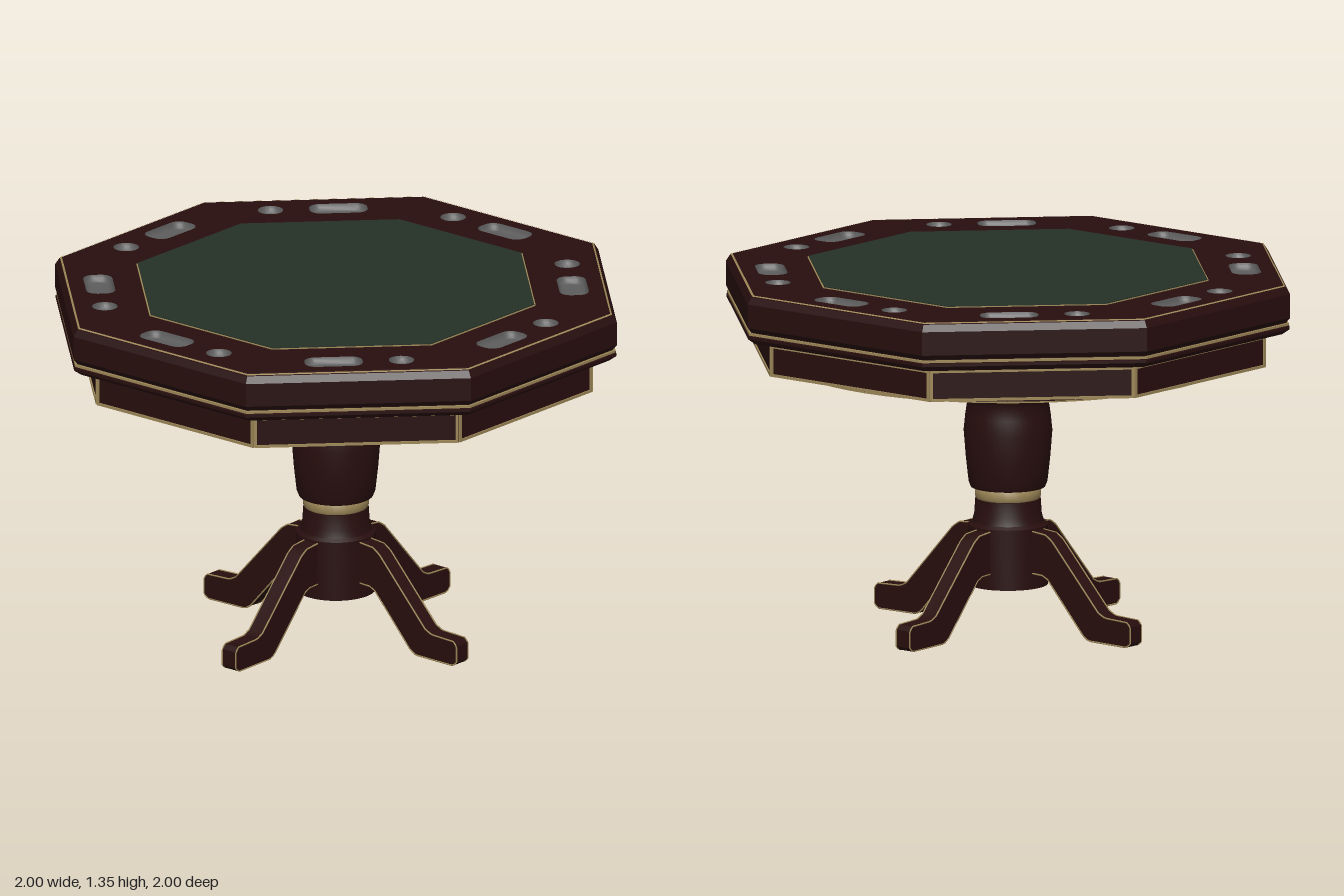
import * as THREE from 'three';
import { toCreasedNormals, mergeGeometries } from 'three/addons/utils/BufferGeometryUtils.js';

const material = (name, color) => {
  const m = new THREE.MeshStandardMaterial({ color });
  m.name = name;
  return m;
};
const C8 = Math.cos(Math.PI / 8);
const vec2 = (list) => list.map(([x, y]) => new THREE.Vector2(x, y));

export function createModel() {
  const wood = material('dark wood', 0x280e0e);
  const felt = material('green felt', 0x243025);
  const gold = material('gold trim', 0x9c8757);
  const metal = material('cup metal', 0x5c5c5c);

  const model = new THREE.Group();
  model.name = 'gamingTable';
  const add = (name, geometry, mat, parent = model) => {
    const mesh = new THREE.Mesh(geometry, mat);
    mesh.name = name;
    parent.add(mesh);
    return mesh;
  };

  // Profiles run from bottom to top; octagon radii are given to the flats
  const octagon = (profile) => toCreasedNormals(new THREE.LatheGeometry(
    vec2(profile.map(([r, y]) => [r / C8, y])), 8, Math.PI / 8), 0.3);
  const round = (profile, segments = 48) => toCreasedNormals(
    new THREE.LatheGeometry(vec2(profile), segments), 0.6);

  // Rounded rectangle outline, counter-clockwise from above, as [x, z]
  const outline = (w, h, r, inset = 0) => {
    const points = [];
    const n = 6;
    for (let q = 0; q < 4; q++) {
      const sx = q === 0 || q === 3 ? 1 : -1;
      const sz = q < 2 ? -1 : 1;
      for (let i = 0; i <= n; i++) {
        const a = (q + i / n) * Math.PI / 2;
        points.push([
          sx * (w / 2 - r) + (r - inset) * Math.cos(a),
          sz * (h / 2 - r) - (r - inset) * Math.sin(a),
        ]);
      }
    }
    return points;
  };

  // Shallow bowl that follows an outline
  const bowl = (w, h, r) => {
    const rings = [[0, 0], [0.003, -0.012], [0.01, -0.022], [0.02, -0.026]];
    const position = [];
    const index = [];
    let count = 0;
    rings.forEach(([inset, y]) => {
      const ring = outline(w, h, r, inset);
      count = ring.length;
      ring.forEach(([x, z]) => position.push(x, y, z));
    });
    position.push(0, -0.026, 0);
    const centre = rings.length * count;
    for (let k = 0; k < rings.length; k++) {
      for (let j = 0; j < count; j++) {
        const a = k * count + j;
        const b = k * count + (j + 1) % count;
        if (k === rings.length - 1) index.push(a, b, centre);
        else index.push(a, b, a + count, b, b + count, a + count);
      }
    }
    const g = new THREE.BufferGeometry();
    g.setAttribute('position', new THREE.Float32BufferAttribute(position, 3));
    g.setIndex(index);
    g.computeVertexNormals();
    return g;
  };

  // Rail top with a felt opening and two pockets on each side
  const pockets = [
    { name: 'chipTray', x: -0.08, size: [0.215, 0.108, 0.042] },
    { name: 'cupHolder', x: 0.17, size: [0.094, 0.094, 0.046] },
  ];
  const pocketZ = 0.865;
  const railTopY = 1.34;
  const octPoints = (apothem) => Array.from({ length: 8 }, (_, i) => {
    const a = (i + 0.5) * Math.PI / 4;
    return new THREE.Vector2(Math.cos(a), Math.sin(a)).multiplyScalar(apothem / C8);
  });
  const railShape = new THREE.Shape(octPoints(0.97));
  railShape.holes.push(new THREE.Path(octPoints(0.7)));
  for (let k = 0; k < 8; k++) {
    const turn = k * Math.PI / 4;
    const c = Math.cos(turn);
    const s = Math.sin(turn);
    const side = new THREE.Group();
    side.name = 'tableSide' + (k + 1);
    side.rotation.y = turn;
    model.add(side);

    pockets.forEach(({ name, x, size }) => {
      add(name, bowl(...size), metal, side).position.set(x, railTopY, pocketZ);
      const hole = outline(...size).map(([px, pz]) => {
        const X = px + x;
        const Z = pz + pocketZ;
        return new THREE.Vector2(X * c + Z * s, X * s - Z * c);
      });
      railShape.holes.push(new THREE.Path(hole));
    });

    // Gold frame around each apron panel
    const bar = (w, h, x, y) => new THREE.BoxGeometry(w, h, 0.008).translate(x, y, 0.911);
    add('apronFrame', mergeGeometries([
      bar(0.75, 0.01, 0, 1.035), bar(0.75, 0.008, 0, 1.141),
      bar(0.011, 0.11, -0.371, 1.088), bar(0.011, 0.11, 0.371, 1.088),
    ]), gold, side);
  }
  add('railTop', new THREE.ShapeGeometry(railShape).rotateX(-Math.PI / 2)
    .translate(0, railTopY, 0), wood);

  // Moulded rail edge, apron and playing surface
  add('railEdge', octagon([[0.9, 1.157], [0.972, 1.157], [0.998, 1.177], [0.998, 1.188],
    [0.986, 1.193], [0.986, 1.202], [1, 1.22], [1, 1.308], [0.985, 1.333], [0.97, 1.34]]), wood);
  add('railGroove', octagon([[0.988, 1.191], [0.995, 1.191], [0.995, 1.2], [0.986, 1.2]]), gold);
  add('railTopLine', octagon([[0.983, 1.336], [0.979, 1.3385], [0.976, 1.339]]), gold);
  add('apron', octagon([[0, 1.03], [0.91, 1.03], [0.91, 1.147], [0.9, 1.157]]), wood);
  add('feltTrim', octagon([[0.711, 1.338], [0.711, 1.343], [0.7, 1.343]]), gold);
  add('feltSurface', octagon([[0.706, 1.33], [0.706, 1.346], [0, 1.346]]), felt);

  // Round plates beneath the top
  add('underPlate', round([[0, 1.003], [0.82, 1.003], [0.825, 1.008], [0.825, 1.03]], 64), wood);
  add('underPlateLine', round([[0.818, 1.001], [0.826, 1.001], [0.826, 1.007]], 64), gold);
  add('collarRim', round([[0.366, 0.919], [0.375, 0.922], [0.375, 1.003]]), gold);
  add('collarUnderside', round([[0, 0.92], [0.368, 0.92]]), wood);
  add('neckRim', round([[0.178, 0.902], [0.185, 0.904], [0.185, 0.92]]), gold);
  add('neckUnderside', round([[0, 0.903], [0.18, 0.903]]), wood);

  // Turned pedestal
  add('pedestalVase', round([[0.11, 0.53], [0.137, 0.53], [0.145, 0.55], [0.155, 0.64],
    [0.163, 0.74], [0.157, 0.8], [0.15, 0.845], [0.157, 0.865], [0.166, 0.88],
    [0.166, 0.892], [0.15, 0.903]]), wood);
  add('pedestalRing', round([[0.1, 0.487], [0.117, 0.487], [0.121, 0.495], [0.121, 0.522],
    [0.117, 0.53], [0.1, 0.53]]), gold);
  add('pedestalBase', round([[0.147, 0.165], [0.147, 0.39], [0.132, 0.4], [0.124, 0.43],
    [0.12, 0.487], [0.1, 0.487]]), wood);
  add('pedestalBottom', round([[0, 0.165], [0.147, 0.165]]), gold);

  // Four splayed legs with gold edge lines
  const legPoints = [[0.12, 0.225], [0.19, 0.222], [0.215, 0.21], [0.385, 0.02], [0.41, 0.005],
    [0.59, 0.003], [0.607, 0.018], [0.607, 0.08], [0.592, 0.096], [0.485, 0.1], [0.455, 0.115],
    [0.235, 0.355], [0.205, 0.375], [0.12, 0.383]];
  const legWidth = 0.066;
  const legGeometry = new THREE.ExtrudeGeometry(new THREE.Shape(vec2(legPoints)),
    { depth: legWidth, bevelEnabled: false }).translate(0, 0, -legWidth / 2);
  const edgePath = new THREE.CurvePath();
  for (let i = 1; i < legPoints.length; i++) {
    edgePath.add(new THREE.LineCurve3(
      new THREE.Vector3(...legPoints[i - 1], 0), new THREE.Vector3(...legPoints[i], 0)));
  }
  const edgeGeometry = new THREE.TubeGeometry(edgePath, 90, 0.0032, 5);
  for (let k = 0; k < 4; k++) {
    const leg = new THREE.Group();
    leg.name = 'leg' + (k + 1);
    leg.rotation.y = k * Math.PI / 2;
    add('legBody', toCreasedNormals(legGeometry, 0.5), wood, leg);
    for (const s of [-1, 1]) {
      add('legEdge', edgeGeometry, gold, leg).position.z = s * (legWidth / 2 - 0.001);
    }
    model.add(leg);
  }
  return model;
}
